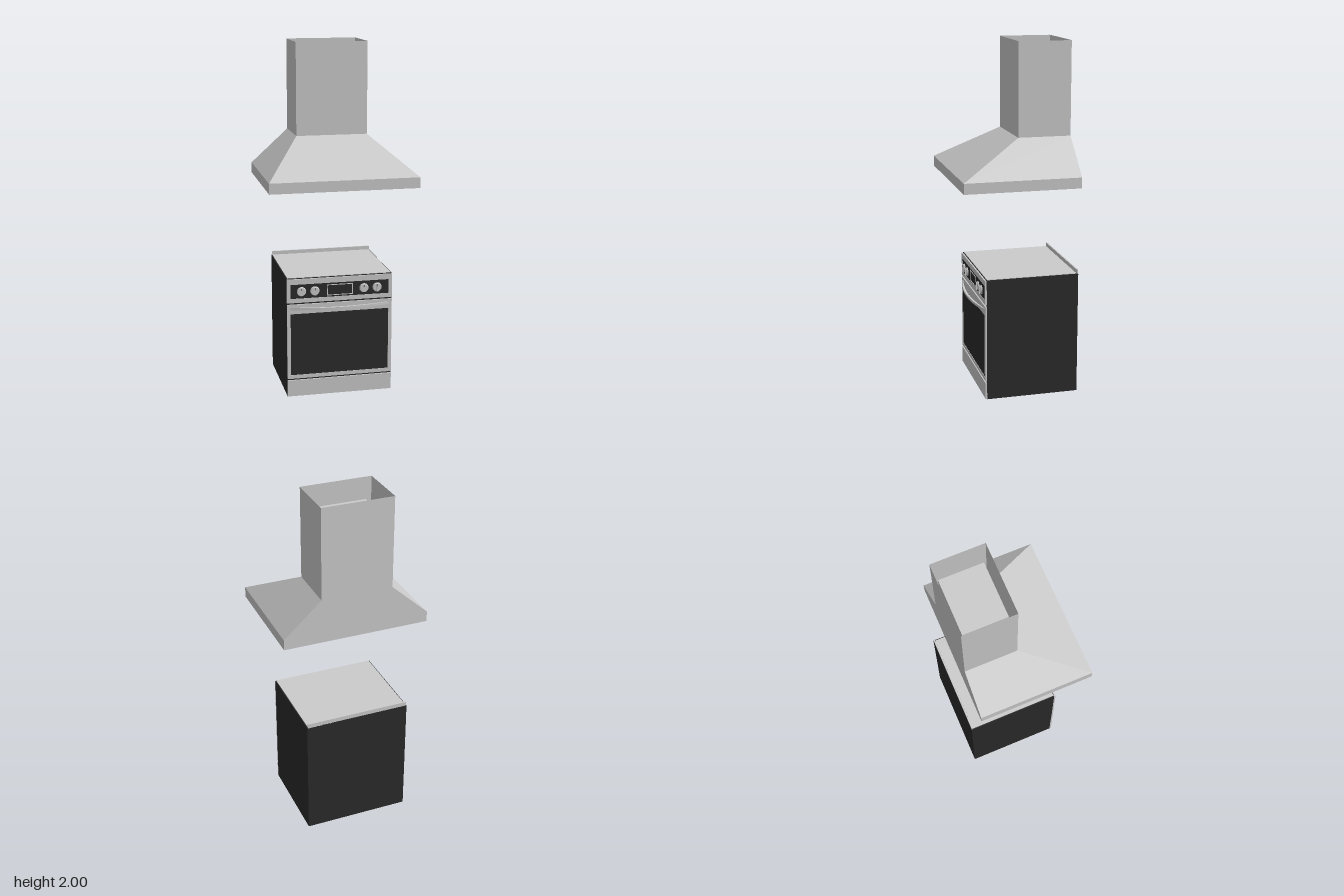
import * as THREE from 'three';

const steel = new THREE.MeshStandardMaterial({ color: 0xcccccc });
const sheet = new THREE.MeshStandardMaterial({ color: 0xcccccc, side: THREE.DoubleSide, flatShading: true });
const black = new THREE.MeshStandardMaterial({ color: 0x2b2b2b });

function add(parent, name, geometry, material) {
  const mesh = new THREE.Mesh(geometry, material);
  mesh.name = name;
  parent.add(mesh);
  return mesh;
}

// Box given by its limits on each axis
function box(parent, name, material, [x0, x1], [y0, y1], [z0, z1]) {
  const mesh = add(parent, name, new THREE.BoxGeometry(x1 - x0, y1 - y0, z1 - z0), material);
  mesh.position.set((x0 + x1) / 2, (y0 + y1) / 2, (z0 + z1) / 2);
  return mesh;
}

// Rectangular frame facing +z, from outer and inner limits
function frame(parent, name, material, [ox0, ox1, oy0, oy1], [ix0, ix1, iy0, iy1], z, depth) {
  const rect = (C, a, b, c, d) => new C([[a, c], [b, c], [b, d], [a, d]].map(p => new THREE.Vector2(...p)));
  const shape = rect(THREE.Shape, ox0, ox1, oy0, oy1);
  shape.holes.push(rect(THREE.Path, ix0, ix1, iy0, iy1));
  const mesh = add(parent, name, new THREE.ExtrudeGeometry(shape, { depth, bevelEnabled: false }), material);
  mesh.position.z = z;
  return mesh;
}

// Sheet-metal loft through rectangular rings [y, halfWidth, zBack, zFront]
function loft(rings, capped) {
  const corners = rings.map(([y, w, b, f]) => [[-w, y, f], [w, y, f], [w, y, b], [-w, y, b]]);
  const pos = [];
  const quad = (a, b, c, d) => pos.push(...a, ...b, ...c, ...a, ...c, ...d);
  for (let i = 0; i < corners.length - 1; i++) {
    for (let k = 0; k < 4; k++) {
      const n = (k + 1) % 4;
      quad(corners[i][k], corners[i][n], corners[i + 1][n], corners[i + 1][k]);
    }
  }
  if (capped) quad(...corners[corners.length - 1]);
  const g = new THREE.BufferGeometry();
  g.setAttribute('position', new THREE.Float32BufferAttribute(pos, 3));
  g.computeVertexNormals();
  return g;
}

function createHood() {
  const hood = new THREE.Group();
  hood.name = 'rangeHood';
  // Outer canopy and open chimney
  add(hood, 'canopyAndChimney', loft([
    [1.22, 0.42, -0.315, 0.34], [1.28, 0.42, -0.315, 0.34],
    [1.475, 0.205, -0.315, -0.015], [2, 0.205, -0.315, -0.015],
  ]), sheet);
  // Inner lining with its closed duct
  add(hood, 'liningAndDuct', loft([
    [1.22, 0.375, -0.295, 0.31], [1.28, 0.375, -0.295, 0.31],
    [1.475, 0.16, -0.295, -0.045], [1.885, 0.16, -0.295, -0.045],
  ], true), sheet);
  // Flat lip joining both along the lower edge
  add(hood, 'lowerLip', loft([
    [1.22, 0.375, -0.295, 0.31], [1.22, 0.42, -0.315, 0.34],
  ]), sheet);
  return hood;
}

function createKnob(x) {
  const knob = new THREE.Group();
  knob.name = 'knob';
  const dial = add(knob, 'dial', new THREE.CylinderGeometry(0.023, 0.027, 0.008, 32), steel);
  dial.rotation.x = Math.PI / 2;
  dial.position.z = 0.004;
  box(knob, 'grip', steel, [-0.005, 0.005], [-0.022, 0.022], [0.008, 0.015]);
  box(knob, 'pointer', black, [-0.0015, 0.0015], [0.008, 0.02], [0.015, 0.0155]);
  knob.position.set(x, 0.625, 0.2);
  return knob;
}

function createStove() {
  const stove = new THREE.Group();
  stove.name = 'stove';
  const W = 0.305;

  // Dark carcass, cooktop and rear upstand
  box(stove, 'body', black, [-W, W], [0, 0.702], [-0.34, 0.191]);
  box(stove, 'cooktop', steel, [-W + 0.005, W - 0.005], [0.695, 0.705], [-0.33, 0.188]);
  box(stove, 'rearUpstand', steel, [-W + 0.003, W - 0.003], [0.70, 0.726], [-0.34, -0.332]);

  // Control panel
  frame(stove, 'controlPanel', steel, [-W, W, 0.56, 0.698], [-0.285, 0.285, 0.585, 0.667], 0.19, 0.01);
  box(stove, 'controlGlass', black, [-0.285, 0.285], [0.585, 0.667], [0.19, 0.198]);
  frame(stove, 'displayFrame', steel, [-0.075, 0.075, 0.593, 0.657], [-0.071, 0.071, 0.597, 0.653], 0.197, 0.004);
  box(stove, 'displayScreen', black, [-0.035, 0.06], [0.624, 0.645], [0.197, 0.2]);
  for (const x of [-0.222, -0.145, 0.14, 0.217]) stove.add(createKnob(x));

  // Oven door with window
  frame(stove, 'doorFrame', steel, [-W, W, 0.108, 0.55], [-0.285, 0.285, 0.13, 0.495], 0.19, 0.01);
  box(stove, 'doorWindow', black, [-0.285, 0.285], [0.13, 0.495], [0.19, 0.198]);

  // Bowed handle, a crescent in plan
  const bow = new THREE.Shape();
  bow.moveTo(-0.285, 0);
  bow.quadraticCurveTo(0, 0.08, 0.285, 0);
  bow.lineTo(0.262, 0);
  bow.quadraticCurveTo(0, 0.054, -0.262, 0);
  bow.closePath();
  const handle = add(stove, 'doorHandle',
    new THREE.ExtrudeGeometry(bow, { depth: 0.014, bevelEnabled: false, curveSegments: 24 }), steel);
  handle.rotation.x = Math.PI / 2;
  handle.position.set(0, 0.533, 0.2);

  // Storage drawer
  box(stove, 'drawerFront', steel, [-W, W], [0.002, 0.098], [0.19, 0.2]);
  return stove;
}

export function createModel() {
  const model = new THREE.Group();
  model.name = 'stoveAndHood';
  model.add(createHood(), createStove());
  return model;
}
